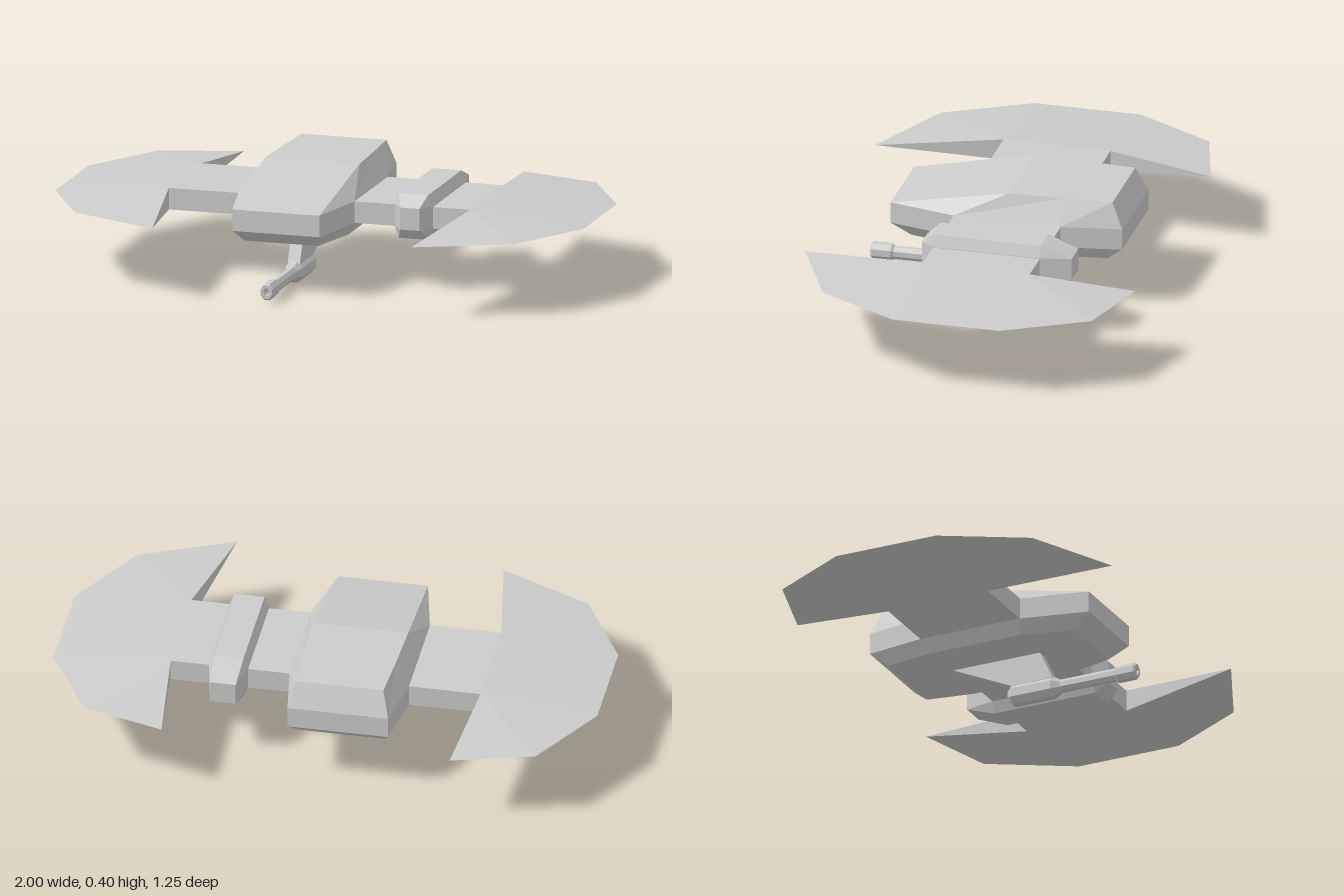
import * as THREE from 'three';

const material = new THREE.MeshStandardMaterial({ color: 0xcccccc, flatShading: true });

function part(name, geometry, parent) {
  const mesh = new THREE.Mesh(geometry, material);
  mesh.name = name;
  parent.add(mesh);
  return mesh;
}

// Flat-faced geometry from polygons given as lists of [x, y, z] corners
function fromFaces(faces) {
  const pos = [];
  for (const f of faces) {
    for (let i = 1; i < f.length - 1; i++) {
      const [a, b, c] = [f[0], f[i], f[i + 1]].map(p => new THREE.Vector3(...p));
      const area = b.clone().sub(a).cross(c.clone().sub(a)).length();
      if (area > 1e-7) pos.push(...a.toArray(), ...b.toArray(), ...c.toArray());
    }
  }
  const g = new THREE.BufferGeometry();
  g.setAttribute('position', new THREE.Float32BufferAttribute(pos, 3));
  g.computeVertexNormals();
  return g;
}

// Faceted hull: stacked layers, each with stations [halfWidth, z, y] from front to back
function hull(layers) {
  const rings = layers.map(st => [
    ...st.map(([w, z, y]) => [w, y, z]),
    ...st.map(([w, z, y]) => [-w, y, z]).reverse(),
  ]);
  const faces = [];
  const n = rings[0].length;
  for (let k = 0; k < rings.length - 1; k++) {
    const a = rings[k], b = rings[k + 1];
    for (let i = 0; i < n; i++) {
      const j = (i + 1) % n;
      faces.push([a[i], a[j], b[j], b[i]]);
    }
  }
  const cap = r => Array.from({ length: n / 2 - 1 }, (_, i) =>
    [r[n - 1 - i], r[i], r[i + 1], r[n - 2 - i]]);
  faces.push(...cap(rings[rings.length - 1]));
  faces.push(...cap(rings[0]).map(f => f.reverse()));
  return fromFaces(faces);
}

// Sharp-edged blade wing; side is +1 (left) or -1 (right)
function wing(side) {
  const midY = 0.27, half = 0.04;
  const edge = [[0.49, 0.62], [0.83, 0.465], [1, 0.16], [1, -0.24], [0.83, -0.54], [0.53, -0.625]]
    .map(([x, z]) => [side * x, midY, z]);
  const root = (z, u) => [side * 0.57, midY + u * half, z];
  const faces = [];
  const add = (flip, ...f) => faces.push(flip ? f.reverse() : f);
  for (const u of [1, -1]) {
    const flip = side * u < 0;
    const front = root(0.16, u), rear = root(-0.24, u);
    add(flip, front, edge[0], edge[1]);
    add(flip, front, edge[1], edge[2]);
    add(flip, front, edge[2], edge[3], rear);
    add(flip, rear, edge[3], edge[4]);
    add(flip, rear, edge[4], edge[5]);
  }
  add(side < 0, root(0.16, 1), root(0.16, -1), edge[0]);
  add(side > 0, root(-0.24, 1), root(-0.24, -1), edge[5]);
  return fromFaces(faces);
}

export function createModel() {
  const model = new THREE.Group();
  model.name = 'fighter';

  // Wings and the spar joining them
  part('wingSpar', new THREE.BoxGeometry(1.14, 0.08, 0.4), model).position.set(0, 0.27, -0.04);
  part('leftWing', wing(1), model);
  part('rightWing', wing(-1), model);

  // Main body, offset to the right
  const belt = y => [[0.165, 0.41, y], [0.22, 0.16, y], [0.22, -0.24, y], [0.185, -0.46, y]];
  part('fuselage', hull([
    [[0.14, 0.34, 0.18], [0.19, 0.14, 0.18], [0.19, -0.22, 0.18], [0.16, -0.4, 0.18]],
    belt(0.23),
    belt(0.31),
    [[0.165, 0.41, 0.31], [0.178, -0.035, 0.402], [0.17, -0.24, 0.402], [0.16, -0.418, 0.402]],
  ]), model).position.x = -0.087;

  // Slim pod on the left
  const podBelt = y => [[0.037, 0.21, y], [0.072, 0.16, y], [0.072, -0.24, y], [0.048, -0.353, y]];
  const podCap = y => [[0.055, 0.165, y], [0.055, 0.165, y], [0.055, -0.24, y], [0.055, -0.24, y]];
  part('pod', hull([podCap(0.188), podBelt(0.23), podBelt(0.312), podCap(0.354)]), model)
    .position.x = 0.357;

  // Swept pylon under the body
  const outline = new THREE.Shape(
    [[0.14, 0.19], [-0.225, 0.19], [0.03, 0.07], [0.195, 0.07]].map(p => new THREE.Vector2(-p[0], p[1])));
  const pylon = new THREE.ExtrudeGeometry(outline, { depth: 0.046, bevelEnabled: false });
  pylon.translate(0, 0, -0.023).rotateY(Math.PI / 2);
  part('pylon', pylon, model).position.x = -0.087;

  // Eight-sided cannon with a hollow muzzle
  const profile = [
    [0, 0.012], [0.026, 0.012], [0.043, 0.03], [0.043, 0.19], [0.025, 0.222], [0.025, 0.44],
    [0.028, 0.442], [0.033, 0.449], [0.033, 0.518], [0.027, 0.525], [0.015, 0.525], [0.015, 0.47], [0, 0.47],
  ].map(p => new THREE.Vector2(...p));
  const cannon = new THREE.LatheGeometry(profile, 8, Math.PI / 8);
  cannon.rotateX(Math.PI / 2).scale(0.83, 1, 1);
  part('cannon', cannon, model).position.set(-0.087, 0.04, 0);

  return model;
}
